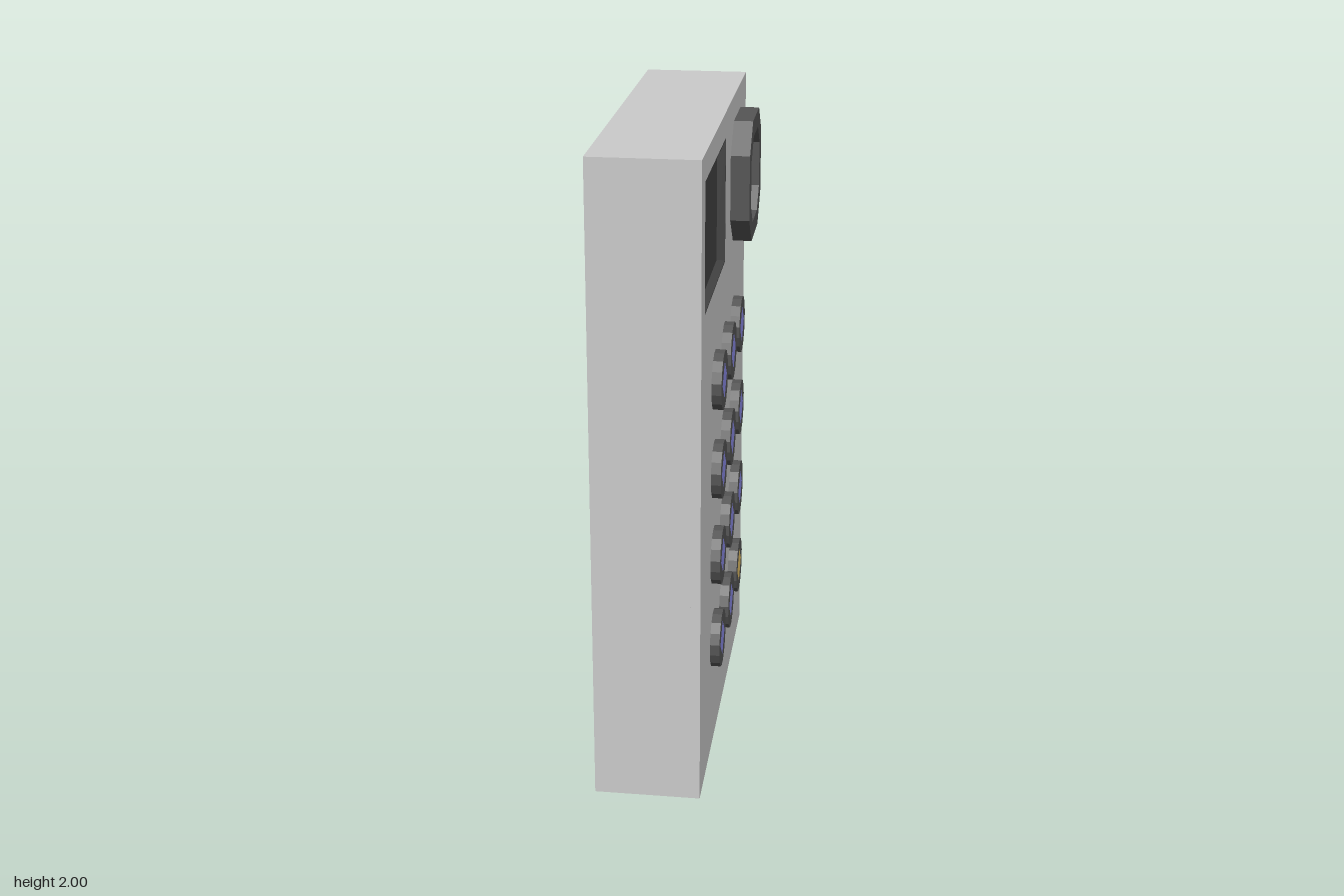
import * as THREE from 'three';

const material = (color) => new THREE.MeshStandardMaterial({ color, flatShading: true });
const BODY = material(0xcccccc);
const DARK = material(0x555555);
const SCREEN = material(0x424242);
const GREEN = material(0x42e83a);
const BLUE = material(0x8c8cea);
const AMBER = material(0xe8c368);

const FACE = 0.13; // x of the keypad face
const RECESS = 0.03;

const polygon = (points) => points.map(([u, v]) => new THREE.Vector2(u, v));
const rectangle = (u, v, hw, hh) =>
  polygon([[u - hw, v - hh], [u + hw, v - hh], [u + hw, v + hh], [u - hw, v + hh]]);
const diamond = (r) => polygon([[r, 0], [0, r], [-r, 0], [0, -r]]);
// Octagon with half-size h and flats of half-length f
const octagon = (h, f) =>
  polygon([[h, -f], [h, f], [f, h], [-f, h], [-h, f], [-h, -f], [-f, -h], [f, -h]]);
const circle = (r, sides) =>
  polygon(Array.from({ length: sides }, (_, i) => {
    const a = ((i + 0.5) / sides) * Math.PI * 2;
    return [r * Math.cos(a), r * Math.sin(a)];
  }));

// Extrude an outline along +x, from x0 to x1; outline u runs along -z, v along y
function plate(name, outline, hole, x0, x1, mat) {
  const shape = new THREE.Shape(outline);
  if (hole) shape.holes.push(new THREE.Path(hole));
  const geometry = new THREE.ExtrudeGeometry(shape, { depth: x1 - x0, bevelEnabled: false });
  geometry.rotateY(Math.PI / 2).translate(x0, 0, 0);
  const mesh = new THREE.Mesh(geometry, mat);
  mesh.name = name;
  return mesh;
}

export function createModel() {
  const model = new THREE.Group();
  model.name = 'keypad';

  // Housing: solid back and a front plate with the screen opening
  const body = new THREE.Group();
  body.name = 'housing';
  const outline = rectangle(0, 1, 0.615, 1);
  const opening = rectangle(-0.267, 1.728, 0.268, 0.193);
  body.add(
    plate('housingBack', outline, null, -0.195, FACE - RECESS, BODY),
    plate('housingFront', outline, opening, FACE - RECESS, FACE, BODY)
  );
  model.add(body);

  // Sunken screen with dark lining
  const screen = new THREE.Group();
  screen.name = 'screen';
  const inner = rectangle(-0.267, 1.728, 0.264, 0.189);
  screen.add(
    plate('screenLining', opening, inner, FACE - RECESS, FACE, SCREEN),
    plate('screenPanel', inner, null, FACE - RECESS, FACE - RECESS + 0.004, SCREEN)
  );
  model.add(screen);

  // Octagonal lamp: raised ring around a sunken green lens
  const lamp = new THREE.Group();
  lamp.name = 'lamp';
  const lensOutline = octagon(0.138, 0.072);
  lamp.add(
    plate('lampRing', octagon(0.193, 0.103), lensOutline, FACE, 0.19, DARK),
    plate('lampLens', lensOutline, null, FACE, 0.16, GREEN)
  );
  lamp.position.set(0, 1.728, -0.337);
  model.add(lamp);

  // Three by four round buttons with diamond marks; the last mark is amber
  for (let row = 0; row < 4; row++) {
    for (let col = 0; col < 3; col++) {
      const button = new THREE.Group();
      button.name = `button${row * 3 + col + 1}`;
      const last = row === 3 && col === 2;
      button.add(
        plate('buttonCap', circle(0.092, 16), diamond(0.06), FACE, 0.16, DARK),
        plate('buttonMark', diamond(0.06), null, FACE, 0.16, last ? AMBER : BLUE)
      );
      button.position.set(0, 1.245 - row * 0.29, 0.265 - col * 0.265);
      model.add(button);
    }
  }
  return model;
}
